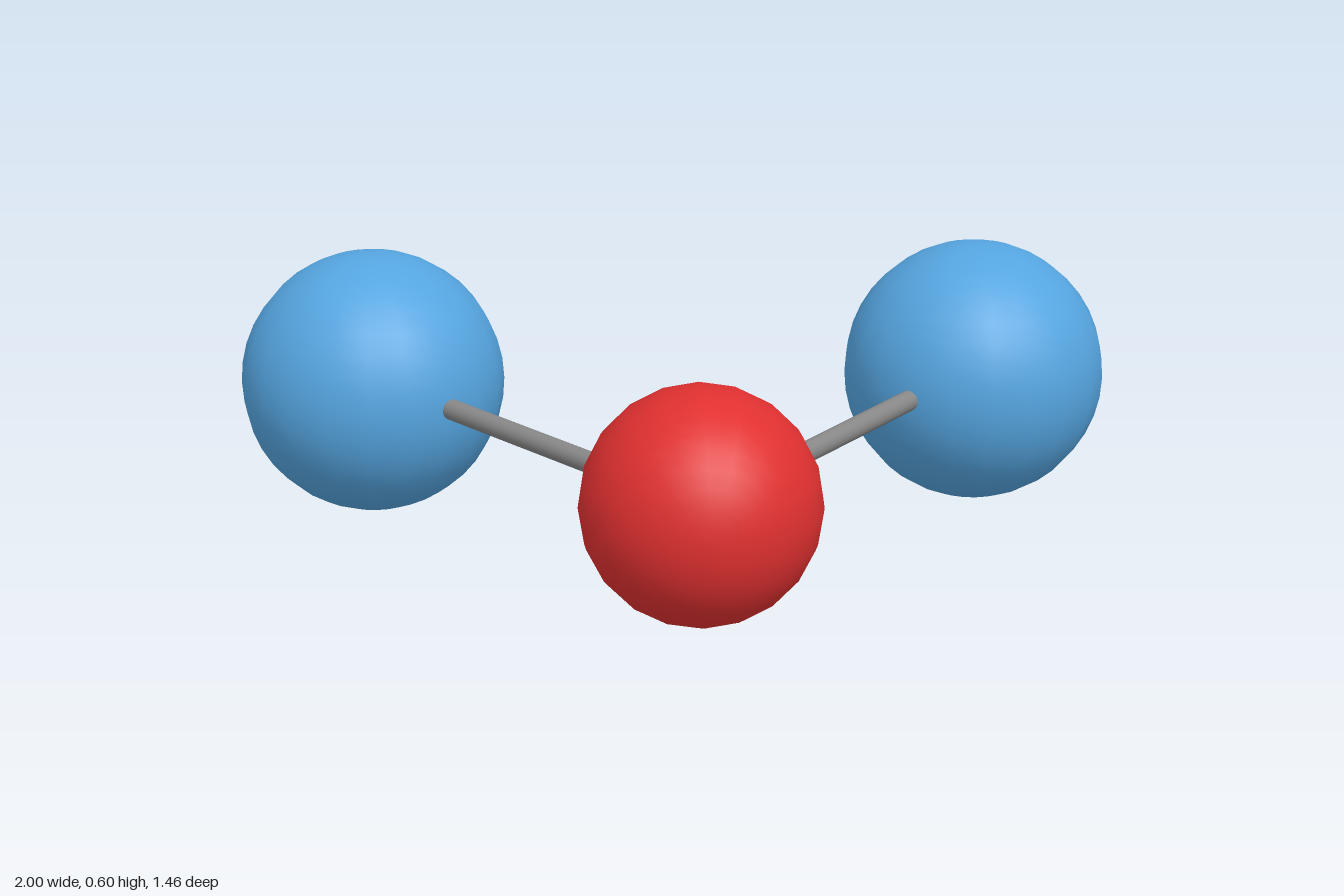
import * as THREE from 'three';

const BLUE_R = 0.302, RED_R = 0.251, ROD_R = 0.0235;

export function createModel() {
  const model = new THREE.Group();
  model.name = 'threeBallModel';

  const material = (color) => new THREE.MeshStandardMaterial({ color });
  const red = material(0xe03030);
  const blue = material(0x55a5e0);
  const grey = material(0x888888);

  const add = (name, geometry, mat, position) => {
    const mesh = new THREE.Mesh(geometry, mat);
    mesh.name = name;
    mesh.position.copy(position);
    model.add(mesh);
    return mesh;
  };

  // Central ball, its poles along z
  const center = new THREE.Vector3(0, BLUE_R, 0.477);
  add('centerBall', new THREE.SphereGeometry(RED_R, 20, 20).rotateX(Math.PI / 2), red, center);

  // Outer balls, each joined to the centre by a rod
  const ballGeometry = new THREE.SphereGeometry(BLUE_R, 20, 20);
  const up = new THREE.Vector3(0, 1, 0);
  for (const [side, s] of [['left', 1], ['right', -1]]) {
    const end = new THREE.Vector3(s * 0.698, BLUE_R, -0.426);
    add(side + 'Ball', ballGeometry, blue, end);

    const axis = end.clone().sub(center);
    const rod = add(side + 'Rod', new THREE.CylinderGeometry(ROD_R, ROD_R, axis.length(), 16),
      grey, center.clone().lerp(end, 0.5));
    rod.quaternion.setFromUnitVectors(up, axis.normalize());
  }

  return model;
}
